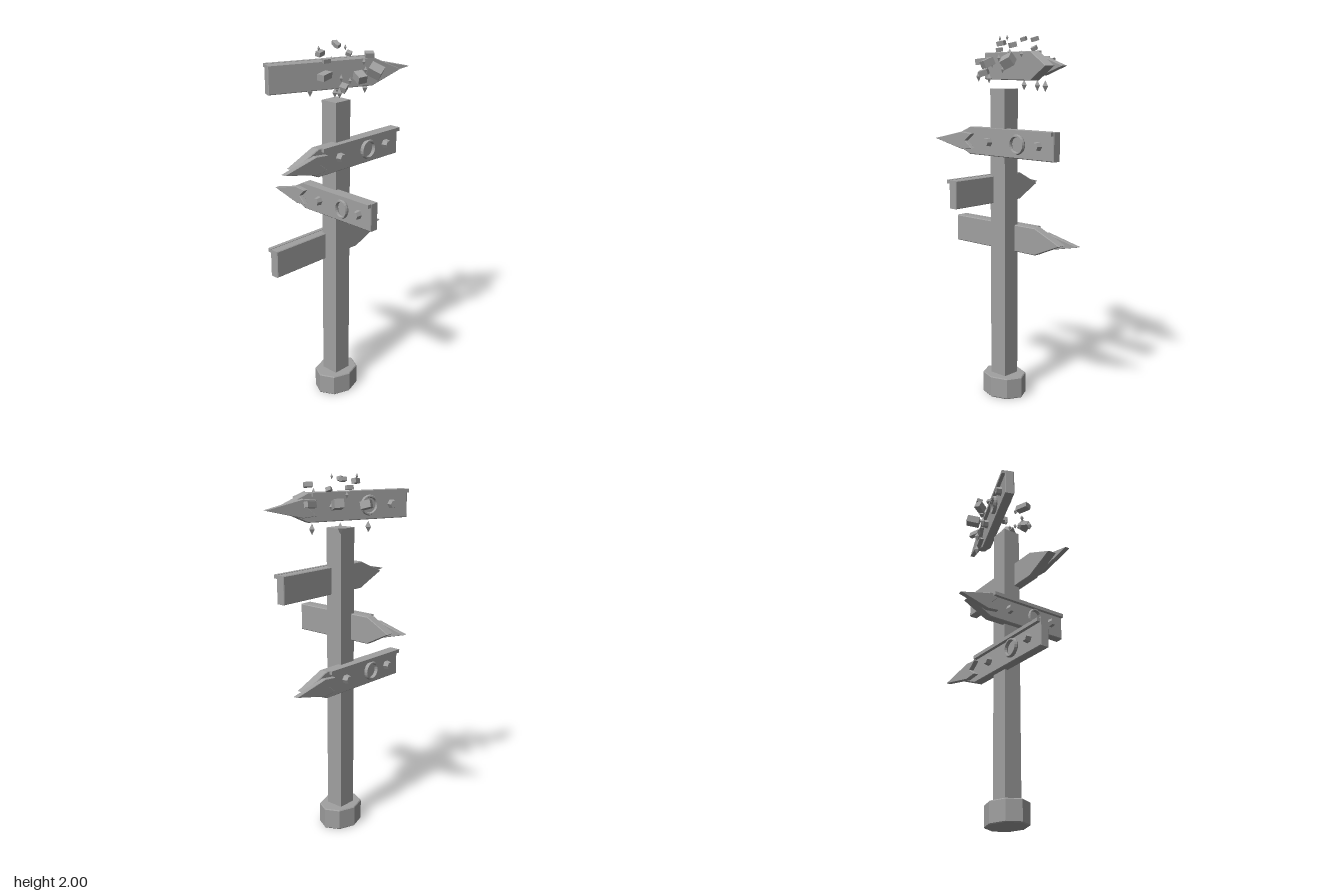
import * as THREE from 'three';

const grey = new THREE.MeshStandardMaterial({ color: 0xa0a0a0, flatShading: true });
grey.name = 'stone grey';

function add(parent, name, geometry, x = 0, y = 0, z = 0) {
  const mesh = new THREE.Mesh(geometry, grey);
  mesh.name = name;
  mesh.position.set(x, y, z);
  parent.add(mesh);
  return mesh;
}

// Plate with slightly chamfered edges, its back at z = 0
function plate(points, depth, bevel) {
  const shape = new THREE.Shape(points.map(([x, y]) => new THREE.Vector2(x, y)));
  const geometry = new THREE.ExtrudeGeometry(shape, {
    depth: depth - 2 * bevel, bevelEnabled: true, bevelSegments: 1,
    bevelSize: bevel, bevelThickness: bevel, bevelOffset: -bevel,
  });
  return geometry.translate(0, 0, bevel);
}

// Arrow sign pointing along -x, with its decorated face towards +z
function sign(name, x, y, z, turn, stretch = 1) {
  const g = new THREE.Group();
  g.name = name;
  const board = [[0.387, 0.075], [-0.22, 0.075], [-0.393, 0], [-0.22, -0.075], [0.387, -0.075]].reverse();
  const head = [[-0.475, 0], [-0.26, -0.048], [-0.18, -0.04], [-0.23, 0], [-0.18, 0.04], [-0.26, 0.048]];
  add(g, 'board', plate(board, 0.052, 0.004), 0, 0, -0.026);
  add(g, 'arrowHead', plate(head, 0.028, 0.003), 0, 0, 0.025);
  add(g, 'topTrim', new THREE.BoxGeometry(0.585, 0.02, 0.022), 0.092, 0.066, 0.035);
  for (const bx of [-0.07, 0.285]) {
    const bolt = new THREE.CylinderGeometry(0.021, 0.026, 0.032, 6);
    add(g, 'bolt', bolt.rotateX(Math.PI / 2).rotateZ(Math.PI / 6), bx, 0, 0.041);
  }
  add(g, 'ring', new THREE.TorusGeometry(0.046, 0.008, 6, 20), 0.142, 0, 0.034).scale.z = 1.8;
  g.position.set(x, y, z);
  g.rotation.y = turn;
  g.scale.x = stretch;
  return g;
}

export function createModel() {
  const model = new THREE.Group();
  model.name = 'signpost';

  // Octagonal foot and square post
  const profile = [[0, 0], [0.128, 0], [0.133, 0.005], [0.133, 0.115], [0.128, 0.12], [0, 0.12]];
  const foot = new THREE.LatheGeometry(profile.map(([r, y]) => new THREE.Vector2(r, y)), 8);
  add(model, 'foot', foot, -0.023, 0, 0.018).scale.z = 0.82;
  add(model, 'post', new THREE.BoxGeometry(0.107, 1.62, 0.102), -0.024, 0.91, 0.018);

  // Four signs, each facing another way
  model.add(
    sign('frontSign', 0, 1.436, 0.062, 0),
    sign('sideSign', -0.081, 1.176, 0.033, -Math.PI / 2, 0.815),
    sign('backSign', -0.045, 0.904, -0.036, Math.PI),
    sign('topSign', 0.018, 1.84, -0.038, Math.PI - 0.375, 0.96),
  );

  // Floating fragments around the top sign: position, size, tilt and turn
  const debris = new THREE.Group();
  debris.name = 'fragments';
  const chunks = [
    [-0.142, 1.865, 0.055, 0.08, 0.032, 0.04, 0.1, 0.25],
    [-0.002, 1.855, 0.165, 0.048, 0.04, 0.06, 0.4, -0.25],
    [0.13, 1.865, 0.15, 0.06, 0.05, 0.07, 0.5, 0.5],
    [-0.018, 1.85, -0.165, 0.04, 0.04, 0.055, 0.3, 0.4],
    [0.14, 1.86, -0.11, 0.05, 0.045, 0.075, 0.3, -0.6],
    [0.25, 1.86, -0.025, 0.075, 0.03, 0.025, 0.2, 0.15],
    [-0.075, 1.805, 0.12, 0.05, 0.03, 0.035, 0.3, 0.5],
    [0.125, 1.945, 0.11, 0.045, 0.025, 0.035, 0.3, -0.6],
    [0.09, 1.98, -0.1, 0.028, 0.022, 0.035, 0.3, -0.4],
    [0.055, 1.98, -0.05, 0.03, 0.02, 0.025, 0.3, 0.3],
    [0.135, 1.93, -0.045, 0.028, 0.02, 0.028, 0.4, 0.5],
    [-0.09, 1.96, -0.03, 0.045, 0.025, 0.028, 0.2, 0.2],
    [-0.075, 1.925, 0.0, 0.04, 0.022, 0.022, 0.2, -0.3],
  ];
  for (const [x, y, z, w, h, d, tilt, turn] of chunks) {
    add(debris, 'chunk', new THREE.BoxGeometry(w, h, d), x, y, z).rotation.set(tilt, turn, tilt * 0.5);
  }

  // Pointed crystals: position and half height
  const crystals = [
    [-0.04, 1.737, -0.16, 0.03], [0.11, 1.737, -0.1, 0.03], [0.235, 1.737, -0.02, 0.03],
    [-0.108, 1.785, 0.125, 0.028], [-0.085, 1.775, 0.07, 0.026], [0.02, 1.82, 0.075, 0.018],
    [0.06, 1.88, 0.145, 0.018], [0.095, 1.91, 0.1, 0.018], [-0.1, 1.85, 0.03, 0.018],
    [0.02, 1.985, 0.04, 0.015], [-0.1, 1.985, -0.03, 0.015], [0.06, 1.9, -0.1, 0.018],
    [0.14, 1.9, 0.06, 0.018], [-0.07, 1.85, 0.1, 0.02],
  ];
  for (const [x, y, z, r] of crystals) {
    add(debris, 'crystal', new THREE.OctahedronGeometry(r), x, y, z).scale.set(0.62, 1, 0.62);
  }
  model.add(debris);
  return model;
}
